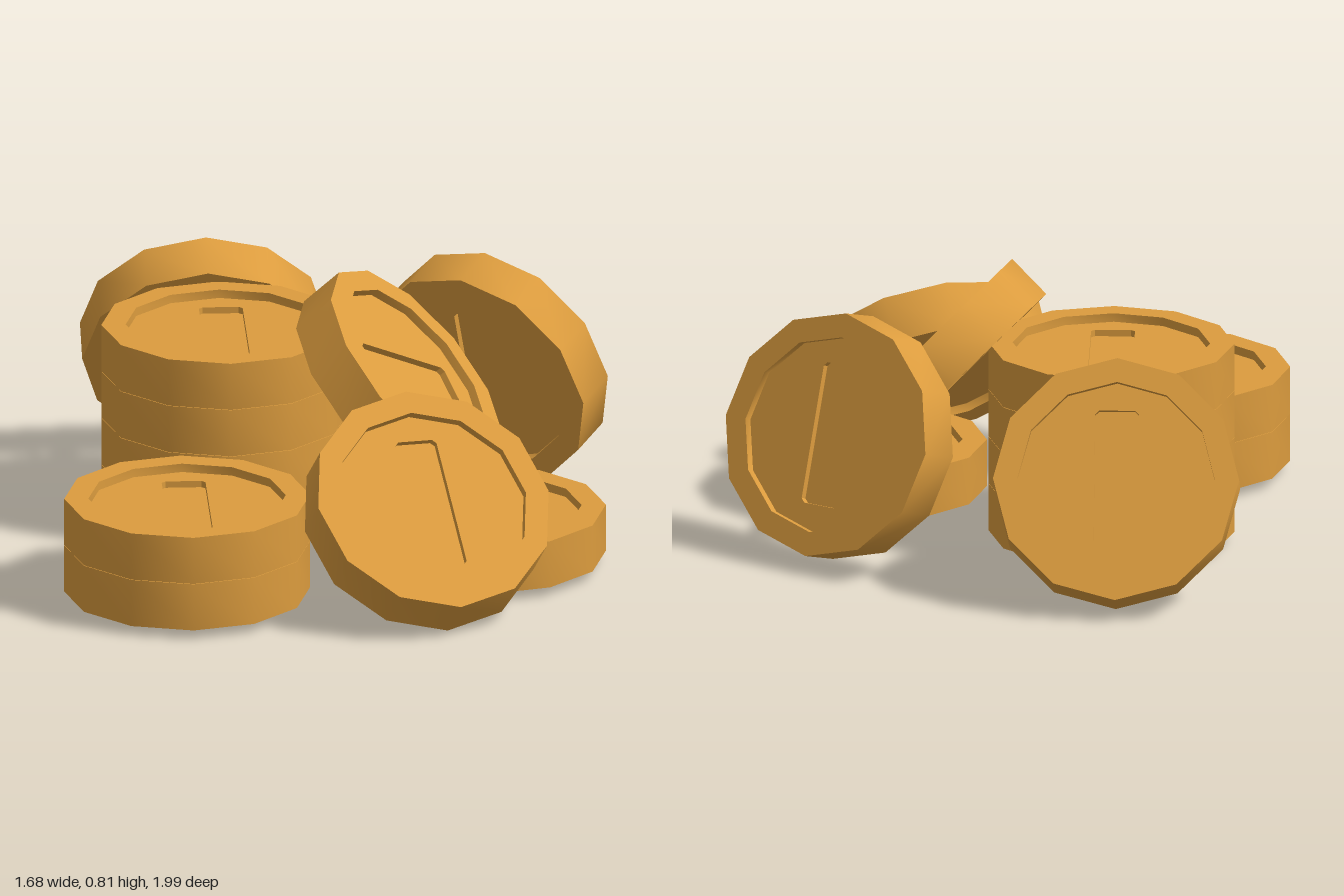
import * as THREE from 'three';
import { mergeGeometries, toCreasedNormals } from 'three/addons/utils/BufferGeometryUtils.js';

const SIDES = 12;
const R = 0.37;          // outer radius
const RI = 0.297;        // recess radius
const H = 0.0735;        // half thickness
const FLOOR = 0.047;     // recess floor height
const SLOT_FLOOR = 0.027;
const PITCH = 0.1483;    // spacing of stacked coins

// Slot outline with slightly cut corners
function slotPoints(w, l, c) {
  return [
    [w - c, -l], [w, -l + c], [w, l - c], [w - c, l],
    [-w + c, l], [-w, l - c], [-w, -l + c], [-w + c, -l],
  ].map(([x, y]) => new THREE.Vector2(x, y));
}

function coinGeometry() {
  // Rim: outer wall, flat borders and recess walls
  const profile = [[RI, -FLOOR], [RI, -H], [R, -H], [R, H], [RI, H], [RI, FLOOR]]
    .map(([x, y]) => new THREE.Vector2(x, y));
  const rim = toCreasedNormals(new THREE.LatheGeometry(profile, SIDES), 0.7);

  // Recessed plate with the slot cut through it
  const disc = [];
  for (let i = 0; i < SIDES; i++) {
    const a = (i / SIDES) * Math.PI * 2;
    disc.push(new THREE.Vector2(RI * Math.cos(a), RI * Math.sin(a)));
  }
  const shape = new THREE.Shape(disc);
  shape.holes.push(new THREE.Path(slotPoints(0.066, 0.214, 0.012).reverse()));
  const plate = new THREE.ExtrudeGeometry(shape, { depth: 2 * FLOOR, bevelEnabled: false });
  plate.translate(0, 0, -FLOOR).rotateX(-Math.PI / 2);

  // Core closing the slot between both faces
  const core = new THREE.BoxGeometry(0.132, 2 * SLOT_FLOOR, 0.428).toNonIndexed();

  return mergeGeometries([rim, plate, core]);
}

export function createModel() {
  const model = new THREE.Group();
  model.name = 'coinPile';
  const geometry = coinGeometry();
  const material = new THREE.MeshStandardMaterial({ color: 0xdc9c3e });

  const addCoin = (parent, name, position) => {
    const coin = new THREE.Mesh(geometry, material);
    coin.name = name;
    coin.position.set(...position);
    parent.add(coin);
    return coin;
  };

  // Flat stacks: x, z, number of coins
  const stacks = [
    ['tallStack', -0.32, -0.17, 4],
    ['shortStack', -0.47, 0.55, 2],
    ['singleCoin', 0.435, 0.27, 1],
  ];
  for (const [name, x, z, count] of stacks) {
    const stack = new THREE.Group();
    stack.name = name;
    for (let i = 0; i < count; i++) {
      addCoin(stack, 'flatCoin', [x, 0.033 + H + i * PITCH, z]);
    }
    model.add(stack);
  }

  // Leaning coins: centre, face normal, slot direction
  const leaning = [
    ['backLeaningCoin', [-0.35, 0.366, -0.758], [0, 0.47, -0.883], [0, 0.883, 0.47]],
    ['frontLeaningCoin', [0.245, 0.31, 0.665], [0.24, 0.73, 0.64], [0.08, -0.278, 0.3]],
    ['middleLeaningCoin', [0.197, 0.497, 0.03], [0.7, 0.68, 0.2], [0.27, -0.18, -0.28]],
    ['sideLeaningCoin', [0.4925, 0.393, -0.388], [0.54, 0.3, -0.78], [-0.075, 0.385, 0.12]],
  ];
  for (const [name, centre, normal, along] of leaning) {
    const y = new THREE.Vector3(...normal).normalize();
    const x = new THREE.Vector3().crossVectors(y, new THREE.Vector3(...along)).normalize();
    const z = new THREE.Vector3().crossVectors(x, y);
    addCoin(model, name, centre)
      .quaternion.setFromRotationMatrix(new THREE.Matrix4().makeBasis(x, y, z));
  }

  return model;
}
